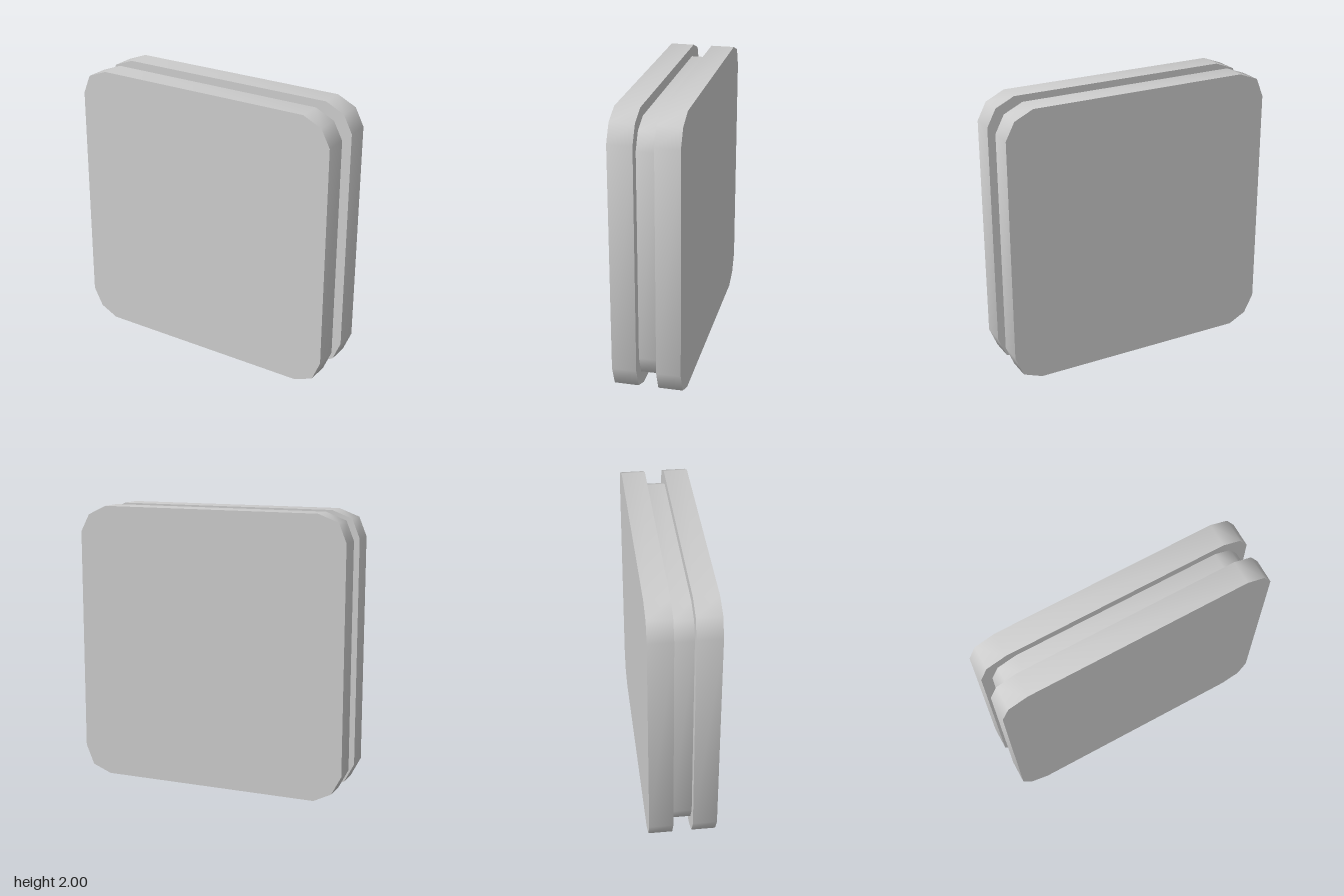
import * as THREE from 'three';
import { toCreasedNormals } from 'three/addons/utils/BufferGeometryUtils.js';

// Square outline with two-facet corners, centred on the origin
const OUTLINE = [
  [0.8, -1], [0.94, -0.945], [1, -0.8],
  [1, 0.81], [0.935, 0.935], [0.8, 1],
  [-0.8, 1], [-0.945, 0.945], [-1, 0.81],
  [-1, -0.8], [-0.93, -0.935], [-0.8, -1],
];

function plate(name, scale, depth, z, material) {
  const shape = new THREE.Shape(OUTLINE.map(([x, y]) => new THREE.Vector2(x * scale, y * scale)));
  const extruded = new THREE.ExtrudeGeometry(shape, { depth, bevelEnabled: false });
  // Smooth around the rim, sharp between rim and faces
  const mesh = new THREE.Mesh(toCreasedNormals(extruded, 1), material);
  mesh.name = name;
  mesh.position.set(0, 1, z - depth / 2);
  return mesh;
}

export function createModel() {
  const group = new THREE.Group();
  group.name = 'groovedPlate';
  const material = new THREE.MeshStandardMaterial({ color: 0xcccccc });

  // Two outer plates separated by a recessed core
  group.add(plate('frontPlate', 1, 0.17, 0.154, material));
  group.add(plate('backPlate', 1, 0.17, -0.154, material));
  group.add(plate('core', 0.926, 0.138, 0, material));
  return group;
}
